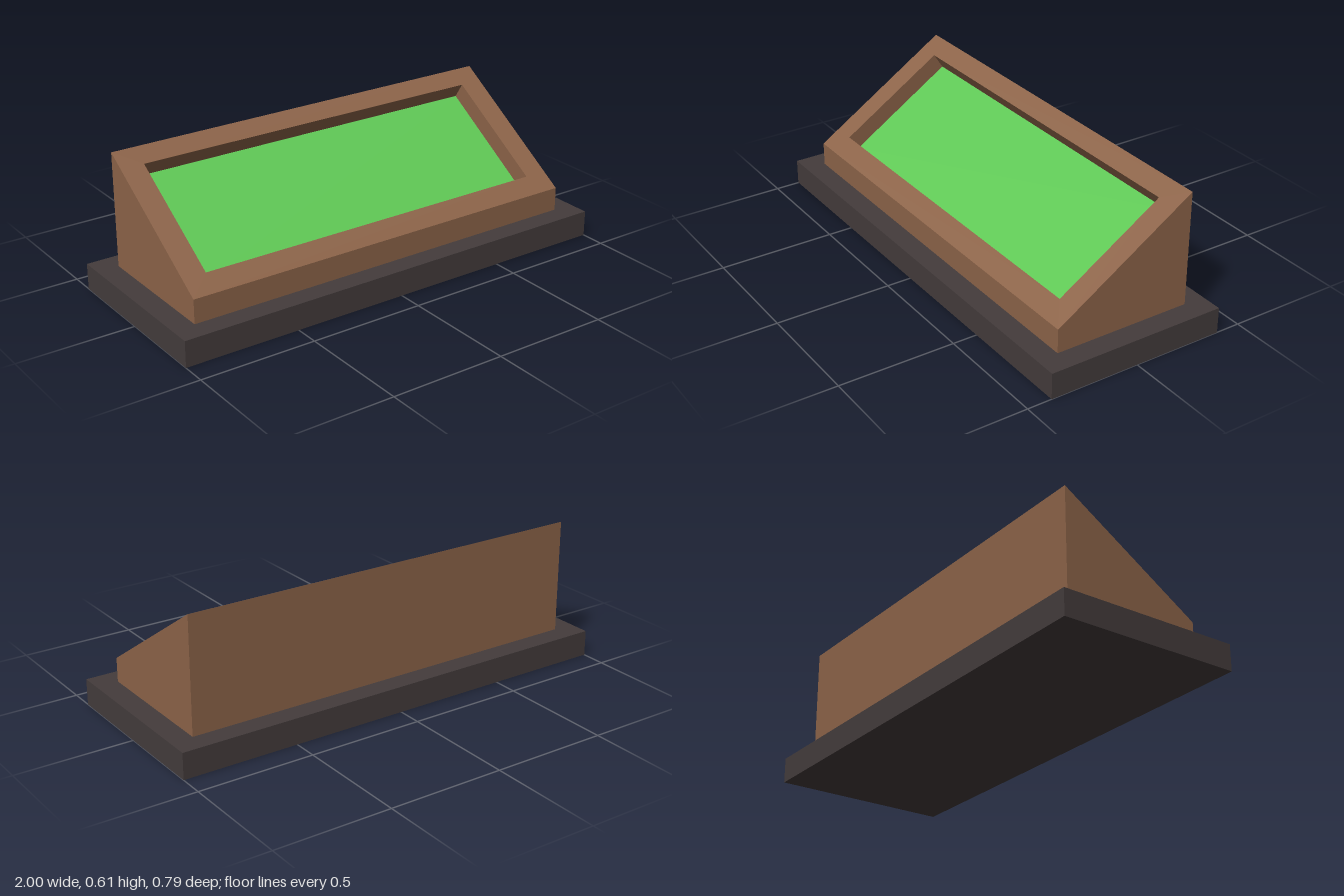
import * as THREE from 'three';

const BASE_H = 0.112;
const FRONT = { z: 0.302, y: 0.215 };
const BACK = { z: -0.302, y: 0.605 };
const DEPTH = 0.078; // recess depth, measured square to the slope

const slope = (BACK.y - FRONT.y) / (FRONT.z - BACK.z);
const angle = Math.atan(slope);
const slopeY = (z) => FRONT.y + (FRONT.z - z) * slope;

// Rectangle of four corners: front left, front right, back right, back left
function ring(halfX, front, back) {
  return [
    [-halfX, front.y, front.z], [halfX, front.y, front.z],
    [halfX, back.y, back.z], [-halfX, back.y, back.z],
  ];
}

// Flat-faced geometry from a list of four-cornered faces
function quads(faces) {
  const pos = faces.flatMap(([a, b, c, d]) => [a, b, c, a, c, d].flat());
  const geo = new THREE.BufferGeometry();
  geo.setAttribute('position', new THREE.Float32BufferAttribute(pos, 3));
  geo.computeVertexNormals();
  return geo;
}

// Faces joining each ring to the next
function loft(rings) {
  const faces = [];
  for (let i = 0; i < rings.length - 1; i++) {
    for (let j = 0; j < 4; j++) {
      const k = (j + 1) % 4;
      faces.push([rings[i][j], rings[i][k], rings[i + 1][k], rings[i + 1][j]]);
    }
  }
  return quads(faces);
}

export function createModel() {
  const wood = new THREE.MeshStandardMaterial({ name: 'brown', color: 0x8d6449 });
  const dark = new THREE.MeshStandardMaterial({ name: 'charcoal', color: 0x443c3c });
  const green = new THREE.MeshStandardMaterial({ name: 'green', color: 0x5fc855 });

  const model = new THREE.Group();
  model.name = 'slopedDisplay';
  const add = (name, geometry, material) => {
    const mesh = new THREE.Mesh(geometry, material);
    mesh.name = name;
    model.add(mesh);
    return mesh;
  };

  // Plinth
  add('base', new THREE.BoxGeometry(2, BASE_H, 0.788), dark).position.y = BASE_H / 2;

  // Wedge body: outer walls, sloped rim, then recess walls
  const onSlope = (z) => ({ y: slopeY(z), z });
  const sunk = (z) => ({
    y: slopeY(z) - DEPTH * Math.cos(angle),
    z: z - DEPTH * Math.sin(angle),
  });
  const floor = ring(0.803, sunk(0.223), sunk(-0.228));
  add('body', loft([
    ring(0.905, { y: BASE_H, z: FRONT.z }, { y: BASE_H, z: BACK.z }),
    ring(0.905, FRONT, BACK),
    ring(0.803, onSlope(0.223), onSlope(-0.228)),
    floor,
  ]), wood);

  // Panel at the bottom of the recess
  add('panel', quads([floor]), green);

  return model;
}
